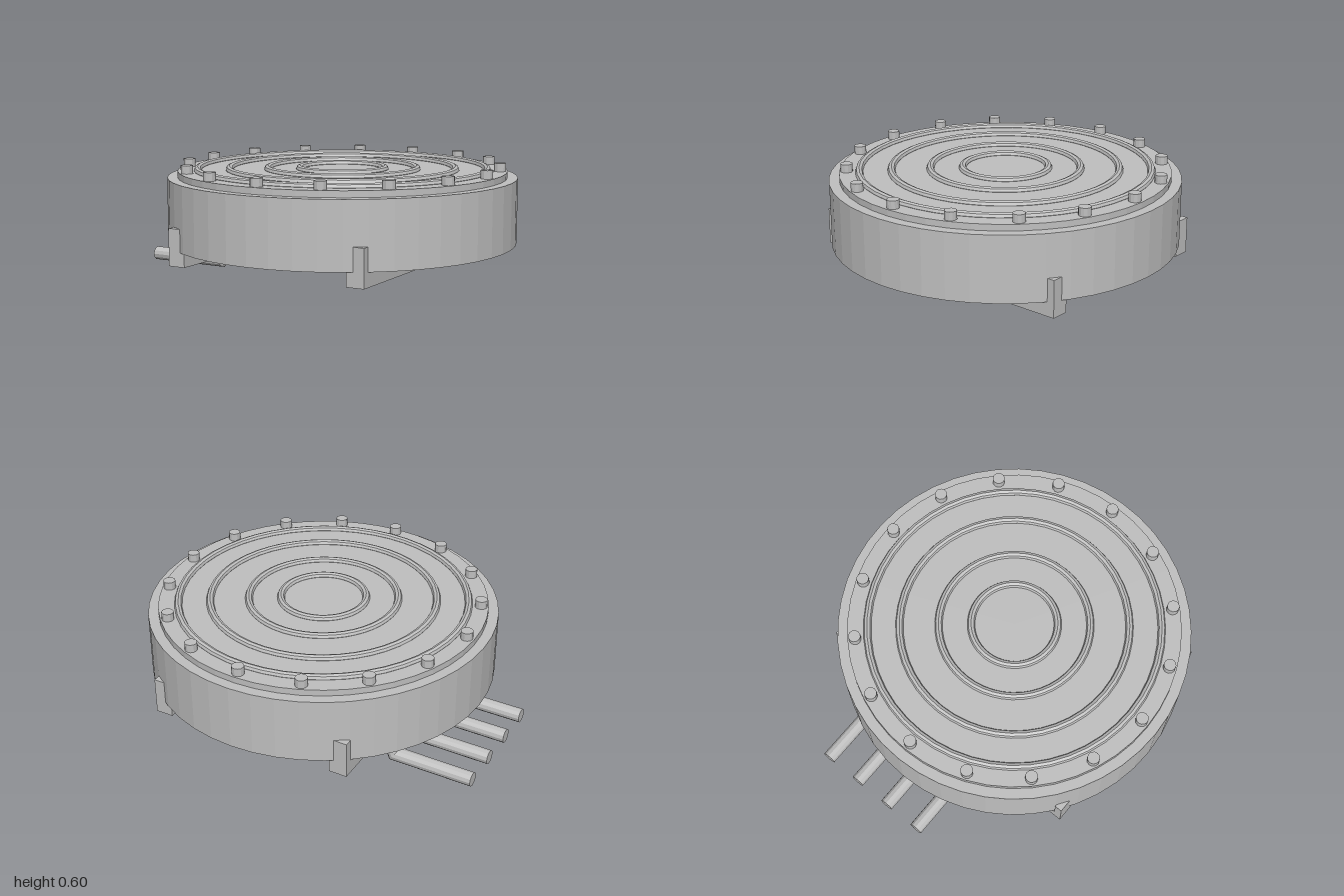
import * as THREE from 'three';

export function createModel() {
  const model = new THREE.Group();
  const metal = new THREE.MeshStandardMaterial({ color: 0xc0c0c0, flatShading: true });
  metal.name = 'grey metal';
  const CX = 0.078; // axis of the drum

  const add = (name, geometry, x, y, z) => {
    const mesh = new THREE.Mesh(geometry, metal);
    mesh.name = name;
    mesh.position.set(x, y, z);
    model.add(mesh);
    return mesh;
  };
  const disc = (name, r, y0, y1, sides, x = CX, z = 0) =>
    add(name, new THREE.CylinderGeometry(r, r, y1 - y0, sides), x, (y0 + y1) / 2, z);

  // Drum and lid
  disc('drum', 0.922, 0.18, 0.524, 48);
  disc('lid', 0.868, 0.5, 0.557, 48);

  // Concentric raised rings on the lid
  for (const r of [0.225, 0.394, 0.597, 0.764]) {
    add('ring', new THREE.TorusGeometry(r, 0.02, 8, 48), CX, 0.559, 0).rotation.x = Math.PI / 2;
  }

  // Bolts around the rim
  for (let i = 0; i < 16; i++) {
    const a = (i / 16) * Math.PI * 2;
    disc('bolt', 0.032, 0.54, 0.6, 12, CX + Math.cos(a) * 0.828, Math.sin(a) * 0.828);
  }

  // Two U-shaped mounting brackets, extruded across their width
  const profile = new THREE.Shape([
    [-0.774, 0.106], [0.774, 0.106], [0.774, 0.3], [0.734, 0.3],
    [0.734, 0.18], [-0.734, 0.18], [-0.734, 0.3], [-0.774, 0.3],
  ].map(([z, y]) => new THREE.Vector2(z, y)));
  for (const x of [-0.395, 0.635]) {
    const geometry = new THREE.ExtrudeGeometry(profile, { depth: 0.095, bevelEnabled: false });
    add('mountingBracket', geometry, x, 0, 0).rotation.y = -Math.PI / 2;
  }

  // Bent pipe: a cylinder whose three rings are moved to the end, the mitred elbow and the drum
  const R = 0.037;
  const rings = [
    { x: -1, y: R, angle: Math.PI / 2, stretch: 1 },
    { x: -0.57, y: R, angle: Math.PI / 2 + 0.585, stretch: 1 / Math.cos(0.585) },
    { x: -0.476, y: 0.26, angle: Math.PI / 2 + 1.17, stretch: 1 },
  ];
  const pipe = new THREE.CylinderGeometry(R, R, 2, 12, 2);
  const p = pipe.attributes.position;
  for (let i = 0; i < p.count; i++) {
    const ring = rings[Math.round(p.getY(i)) + 1];
    const u = -p.getX(i) * ring.stretch;
    p.setXYZ(i, ring.x - u * Math.cos(ring.angle) * -1, ring.y + u * Math.sin(ring.angle), p.getZ(i));
  }
  pipe.computeVertexNormals();
  for (const z of [0.205, 0, -0.205, -0.41]) add('pipe', pipe, 0, 0, z);

  return model;
}
